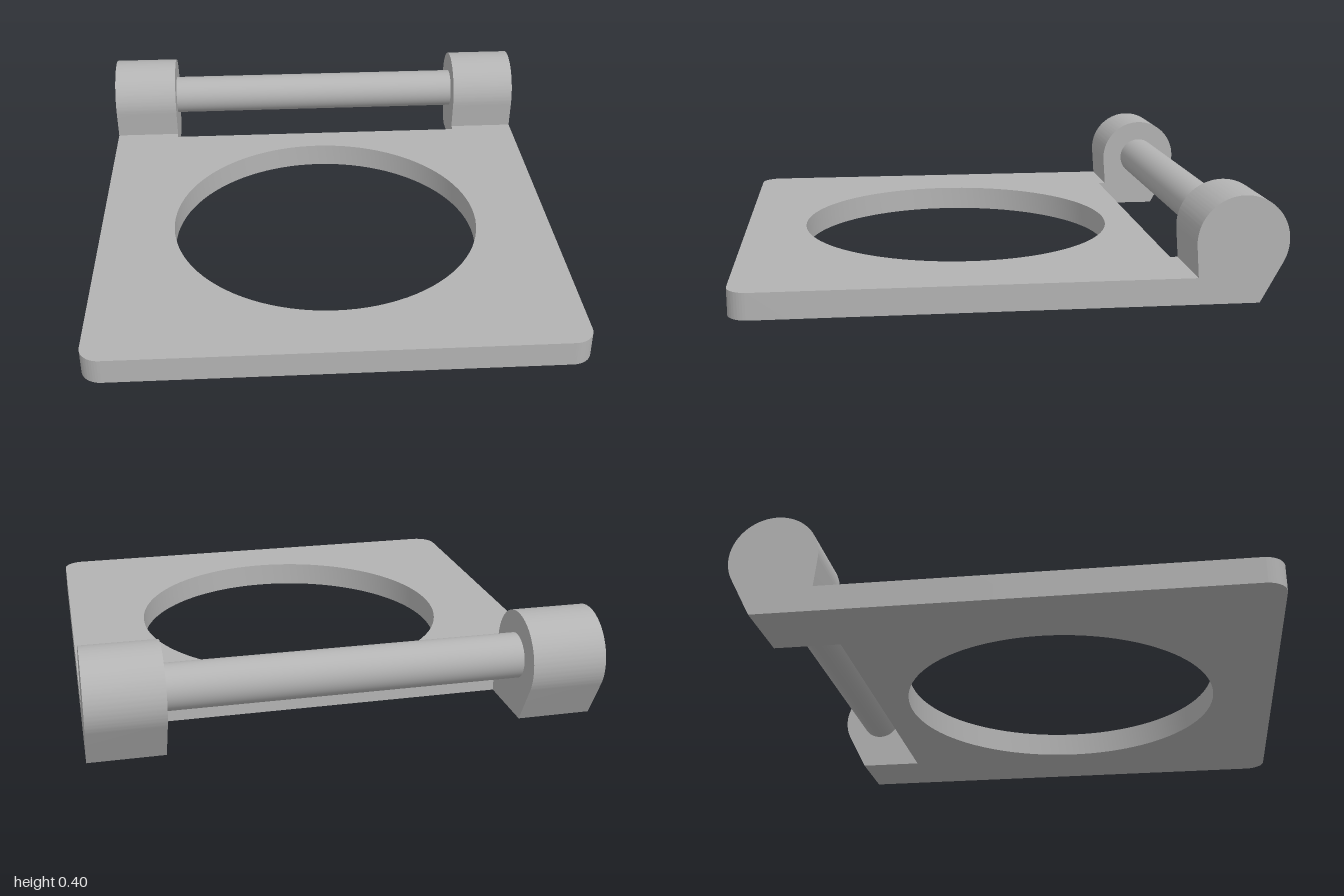
import * as THREE from 'three';
import { toCreasedNormals } from 'three/addons/utils/BufferGeometryUtils.js';

const HALF_WIDTH = 0.94, THICKNESS = 0.1, PLATE_BACK = 0.64;
const EAR_INNER = 0.66;
const PIN = { y: 0.23, back: 0.83 }; // hinge axis, "back" is measured along -z

function extrude(shape, depth) {
  const geometry = new THREE.ExtrudeGeometry(shape, { depth, bevelEnabled: false, curveSegments: 48 });
  return toCreasedNormals(geometry, 0.4);
}

// Flat plate with rounded front corners and a round opening
function plateGeometry() {
  const r = 0.08, w = HALF_WIDTH;
  const shape = new THREE.Shape();
  shape.moveTo(w, PLATE_BACK);
  shape.lineTo(-w, PLATE_BACK);
  shape.lineTo(-w, -1 + r);
  shape.absarc(-w + r, -1 + r, r, Math.PI, Math.PI * 1.5, false);
  shape.absarc(w - r, -1 + r, r, Math.PI * 1.5, Math.PI * 2, false);
  shape.closePath();
  const hole = new THREE.Path();
  hole.absarc(0, -0.12, 0.635, 0, Math.PI * 2, true);
  shape.holes.push(hole);
  return extrude(shape, THICKNESS).rotateX(-Math.PI / 2);
}

// Teardrop hinge ear, drawn from the side and extruded across x
function earGeometry() {
  const shape = new THREE.Shape();
  shape.moveTo(PLATE_BACK, 0);
  shape.lineTo(0.9, 0);
  shape.absarc(PIN.back, PIN.y, 0.17, -0.49, 3.224, false);
  shape.lineTo(0.67, THICKNESS);
  shape.lineTo(PLATE_BACK, THICKNESS);
  shape.closePath();
  return extrude(shape, HALF_WIDTH - EAR_INNER).rotateY(Math.PI / 2);
}

export function createModel() {
  const model = new THREE.Group();
  model.name = 'hingedRingPlate';
  const grey = new THREE.MeshStandardMaterial({ color: 0xb3b3b3 });
  grey.name = 'grey';

  const add = (name, geometry, x = 0, y = 0, z = 0) => {
    const mesh = new THREE.Mesh(geometry, grey);
    mesh.name = name;
    mesh.position.set(x, y, z);
    model.add(mesh);
  };

  add('plate', plateGeometry());
  const ear = earGeometry();
  add('leftHingeEar', ear, EAR_INNER);
  add('rightHingeEar', ear, -HALF_WIDTH);

  // Hinge pin between the ears
  const pin = new THREE.CylinderGeometry(0.085, 0.085, EAR_INNER * 2 + 0.02, 48).rotateZ(Math.PI / 2);
  add('hingePin', pin, 0, PIN.y, -PIN.back);

  return model;
}
